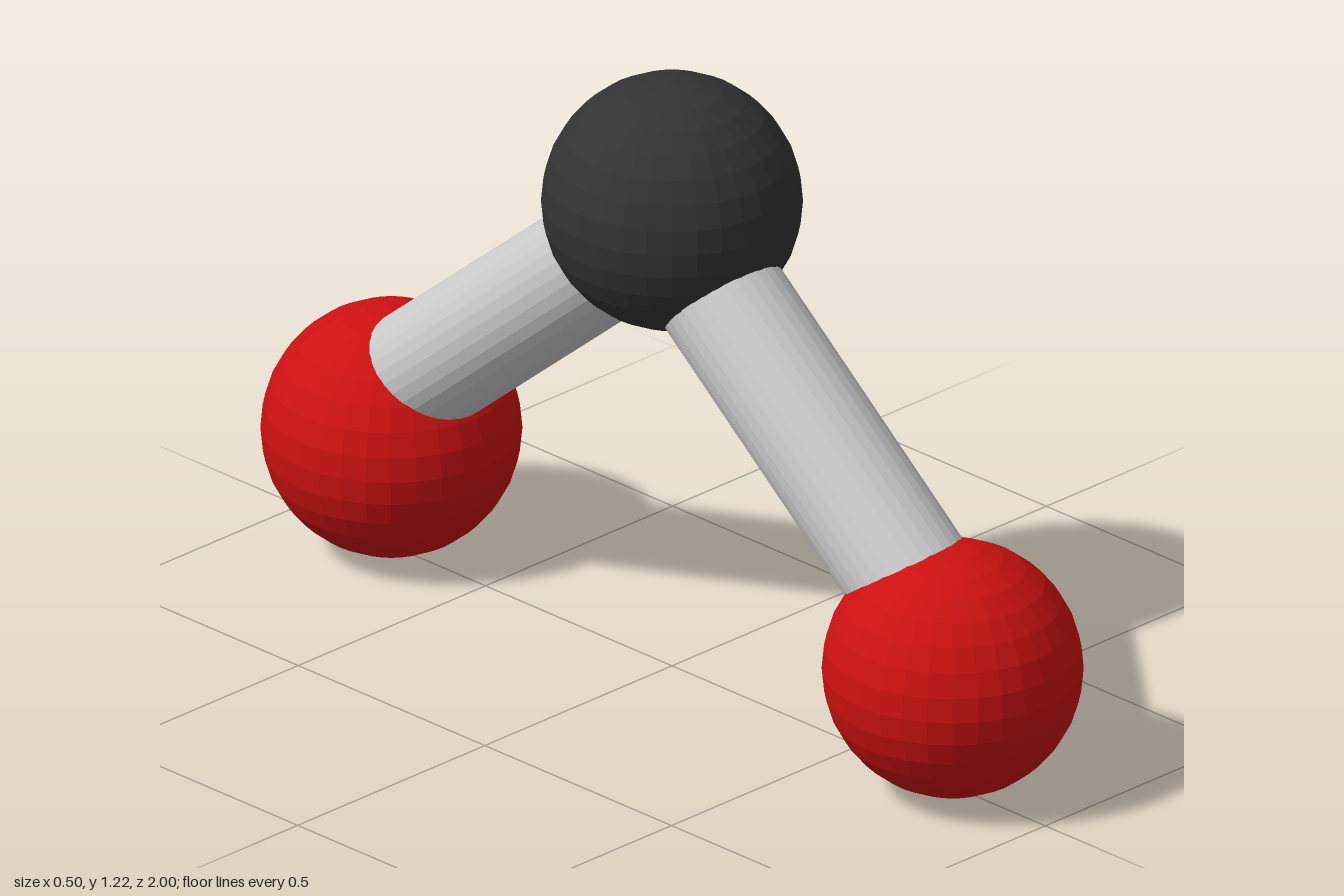
import * as THREE from 'three';

const RADIUS = 0.248;

function material(color) {
  return new THREE.MeshStandardMaterial({ color, flatShading: true });
}

function ball(name, color, y, z) {
  const mesh = new THREE.Mesh(new THREE.SphereGeometry(RADIUS, 32, 16), material(color));
  mesh.name = name;
  mesh.position.set(0, y, z);
  return mesh;
}

// Straight cylinder between two points
function rod(name, from, to) {
  const axis = new THREE.Vector3().subVectors(to, from);
  const mesh = new THREE.Mesh(new THREE.CylinderGeometry(0.123, 0.123, axis.length(), 32), material(0xcccccc));
  mesh.name = name;
  mesh.position.addVectors(from, to).multiplyScalar(0.5);
  mesh.quaternion.setFromUnitVectors(new THREE.Vector3(0, 1, 0), axis.normalize());
  return mesh;
}

export function createModel() {
  const model = new THREE.Group();
  model.name = 'bentMolecule';

  // Dark central atom
  model.add(ball('centralAtom', 0x333333, 0.976, 0));

  // Outer atoms and their bonds, mirrored front to back
  for (const [side, s] of [['front', 1], ['back', -1]]) {
    model.add(ball(side + 'Atom', 0xcc1111, 0.25, s * 0.752));
    // Bonds sit slightly off centre, with both ends buried in the atoms
    model.add(rod(side + 'Bond',
      new THREE.Vector3(-0.012, 0.882, s * 0.08),
      new THREE.Vector3(-0.012, 0.386, s * 0.68)));
  }
  return model;
}
